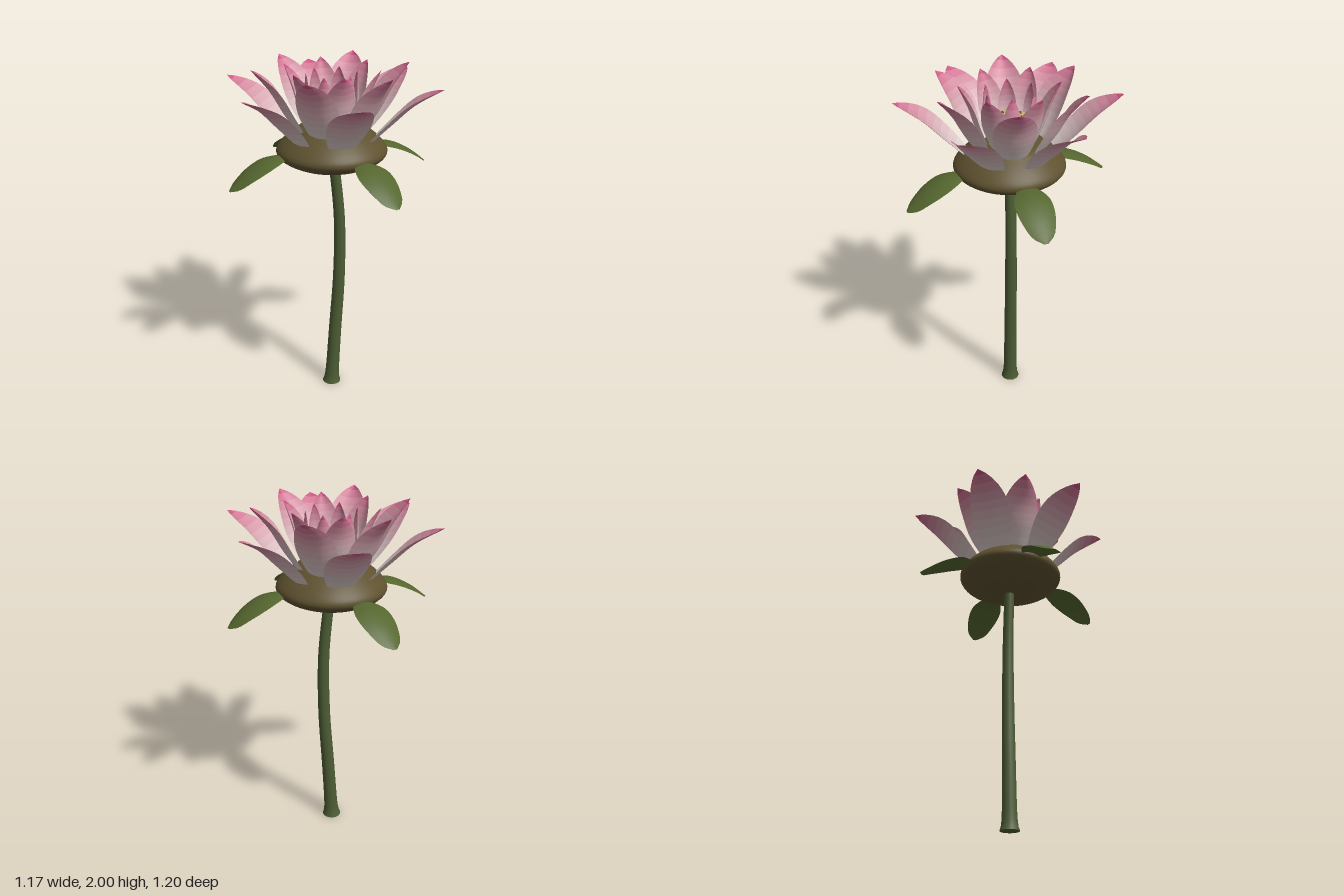
import * as THREE from 'three';

const paint = (color, side = THREE.FrontSide) => new THREE.MeshStandardMaterial({ color, side });
const pts = (list) => list.map(([x, y]) => new THREE.Vector2(x, y));
const ROWS = 20, COLS = 8, BANDS = 10;

// A leaf-like blade: a plane bent along a (radius, height) profile, with a width outline and a cupped section.
function bladeGeometry(profile, outline, halfWidth, cup) {
  const spine = new THREE.SplineCurve(pts(profile));
  const edge = new THREE.SplineCurve(pts(outline.map((w, i) => [i / (outline.length - 1), w])));
  const geo = new THREE.PlaneGeometry(2, 1, COLS, ROWS);
  const pos = geo.attributes.position;
  for (let i = 0; i < pos.count; i++) {
    const u = pos.getX(i), t = THREE.MathUtils.clamp(pos.getY(i) + 0.5, 0, 1);
    const p = spine.getPoint(t), tan = spine.getTangent(t);
    const w = halfWidth * Math.max(0, edge.getPoint(t).y);
    const sag = cup * w * u * u;
    pos.setXYZ(i, u * w, p.y + tan.x * sag, p.x - tan.y * sag);
  }
  geo.computeVertexNormals();
  // colour bands from tip to base
  const perBand = (ROWS / BANDS) * COLS * 6;
  for (let b = 0; b < BANDS; b++) geo.addGroup(b * perBand, perBand, b);
  return geo;
}

const PETAL = [0.5, 0.7, 0.88, 0.98, 1, 0.93, 0.74, 0.4, 0];
const SEPAL = [0.25, 0.6, 0.85, 0.98, 1, 0.95, 0.82, 0.58, 0.1];

export function createModel() {
  const model = new THREE.Group();
  model.name = 'lotusFlower';
  const add = (parent, name, geo, mat) => {
    const mesh = new THREE.Mesh(geo, mat);
    mesh.name = name;
    parent.add(mesh);
    return mesh;
  };

  // Stem: a bowed tube with a flared foot
  const bow = new THREE.SplineCurve(pts([[0, 0], [0.022, 0.38], [0.045, 0.76], [0.045, 1.13], [0.008, 1.5]]));
  const stemGeo = new THREE.CylinderGeometry(1, 1, 1, 20, 40);
  const sp = stemGeo.attributes.position;
  for (let i = 0; i < sp.count; i++) {
    const t = sp.getY(i) + 0.5, c = bow.getPoint(t);
    const r = 0.041 - 0.012 * t + 0.014 * Math.exp(-t * 28);
    sp.setXYZ(i, c.x + sp.getX(i) * r, c.y, sp.getZ(i) * r - 0.003);
  }
  stemGeo.computeVertexNormals();
  add(model, 'stem', stemGeo, paint(0x4c5c34));

  // Receptacle: the swollen cushion beneath the petals
  const cushion = new THREE.SplineCurve(pts([[0, 1.43], [0.1, 1.437], [0.21, 1.465], [0.285, 1.505],
    [0.305, 1.543], [0.275, 1.59], [0.21, 1.645], [0.15, 1.675], [0, 1.68]]));
  add(model, 'receptacle', new THREE.LatheGeometry(cushion.getPoints(40), 48), paint(0x5f5230));

  // Seed pod: a flared cup with a softly domed top
  const podProfile = pts([[0.08, 1.66], [0.1, 1.71], [0.12, 1.76], [0.125, 1.782], [0.12, 1.797],
    [0.1, 1.806], [0.05, 1.811], [0, 1.812]]);
  add(model, 'seedPod', new THREE.LatheGeometry(podProfile, 40), paint(0xcdb467));

  // Seeds scattered over the pod
  const seeds = new THREE.Group();
  seeds.name = 'seeds';
  model.add(seeds);
  const seedGeo = new THREE.SphereGeometry(0.009, 10, 8), seedMat = paint(0x4a3420);
  for (const [x, z] of [[-0.045, -0.06], [0.015, -0.06], [0.06, -0.055], [-0.045, -0.02], [0.035, -0.02],
    [0.07, 0.01], [-0.055, 0.032], [0.025, 0.046], [-0.006, 0.074]]) {
    add(seeds, 'seed', seedGeo, seedMat).position.set(x, 1.809, z);
  }

  // Petals: four rings of six, alternating by half a step, pale at the base and pink at the tip
  const tip = new THREE.Color(0xcf5585), base = new THREE.Color(0xdfd6d2);
  const petalMats = Array.from({ length: BANDS }, (_, b) =>
    paint(tip.clone().lerp(base, Math.pow(b / (BANDS - 1), 0.8)), THREE.DoubleSide));
  const rings = [
    { name: 'outerPetals', profile: [[0.22, 1.59], [0.34, 1.71], [0.46, 1.825], [0.6, 1.91]], w: 0.115, cup: 0.22, turn: 0 },
    { name: 'middlePetals', profile: [[0.17, 1.62], [0.26, 1.75], [0.335, 1.88], [0.43, 1.995]], w: 0.11, cup: 0.35, turn: 0.5 },
    { name: 'innerPetals', profile: [[0.13, 1.65], [0.185, 1.77], [0.22, 1.88], [0.268, 1.99]], w: 0.08, cup: 0.4, turn: 0 },
    { name: 'heartPetals', profile: [[0.12, 1.665], [0.142, 1.76], [0.148, 1.86], [0.14, 1.965]], w: 0.05, cup: 0.4, turn: 0.5 },
  ];
  for (const { name, profile, w, cup, turn } of rings) {
    const ring = new THREE.Group();
    ring.name = name;
    model.add(ring);
    const geo = bladeGeometry(profile, PETAL, w, cup);
    for (let i = 0; i < 6; i++) add(ring, 'petal', geo, petalMats).rotation.y = (i + turn) * Math.PI / 3;
  }

  // Sepals: four drooping leaves under the flower
  const sepals = new THREE.Group();
  sepals.name = 'sepals';
  model.add(sepals);
  const sepalGeo = bladeGeometry([[0.27, 1.545], [0.38, 1.53], [0.49, 1.475], [0.597, 1.39]], SEPAL, 0.098, -0.2);
  sepalGeo.clearGroups();
  const sepalMat = paint(0x55662f, THREE.DoubleSide);
  for (const deg of [20, 101.5, 200, 281.5]) {
    add(sepals, 'sepal', sepalGeo, sepalMat).rotation.y = THREE.MathUtils.degToRad(deg);
  }
  return model;
}
